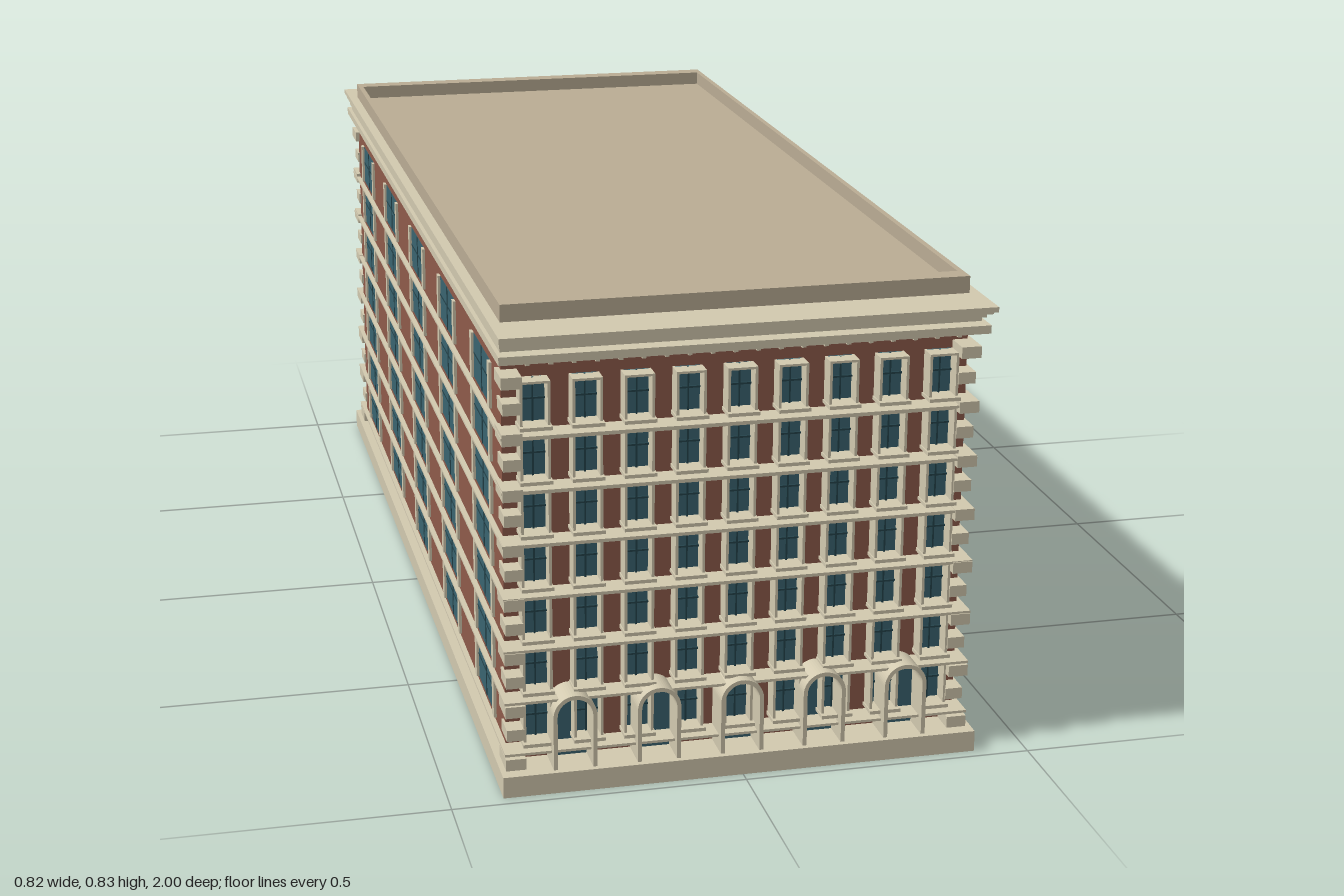
import * as THREE from 'three';

const mat = (color) => new THREE.MeshStandardMaterial({ color });
const BRICK = mat(0x8f5b4b), STONE = mat(0xd3cab0), GLASS = mat(0x3a6470), BAR = mat(0x24434b), ROOF = mat(0xbbad95);

const HX = 0.393, HZ = 0.91;         // half size of the brick body
const FLOORS = 7, STOREY = 0.0923;

// Box given by its minimum and maximum corners
function box(parent, name, material, x0, x1, y0, y1, z0, z1) {
  const m = new THREE.Mesh(new THREE.BoxGeometry(x1 - x0, y1 - y0, z1 - z0), material);
  m.position.set((x0 + x1) / 2, (y0 + y1) / 2, (z0 + z1) / 2);
  m.name = name;
  parent.add(m);
  return m;
}

// Slab centred on the vertical axis
const slab = (parent, name, material, hx, hz, y0, y1) =>
  box(parent, name, material, -hx, hx, y0, y1, -hz, hz);

// Window facing +z with its wall at z = 0; w and h are outer sizes, y = 0 at the sill
function makeWindow({ w, h, jamb, depth, bar }) {
  const g = new THREE.Group();
  g.name = 'window';
  const a = w / 2;
  box(g, 'glass', GLASS, -a + jamb, a - jamb, 0, h, 0, depth * 0.1);
  box(g, 'verticalBar', BAR, -bar / 2, bar / 2, 0, h, 0, depth * 0.25);
  box(g, 'horizontalBar', BAR, -a + jamb, a - jamb, h * 0.54, h * 0.54 + 0.003, 0, depth * 0.25);
  for (const s of [-1, 1]) {
    const c = s * (a - jamb / 2);
    box(g, 'jamb', STONE, c - jamb / 2, c + jamb / 2, 0, h, 0, depth);
  }
  return g;
}

// Grid of windows on one wall
function makeWindowWall(name, columns, spacing, spec) {
  const wall = new THREE.Group();
  wall.name = name;
  for (let f = 0; f < FLOORS; f++) {
    for (let i = 0; i < columns; i++) {
      const win = makeWindow(spec);
      if (spec.trim) {
        const a = spec.w / 2;
        box(win, 'lintel', STONE, -a, a, spec.h - 0.004, spec.h, 0, spec.depth);
        box(win, 'sill', STONE, -a - 0.002, a + 0.002, -0.001, 0.005, 0, spec.depth * 1.3);
      }
      win.position.set((i - (columns - 1) / 2) * spacing, 0.074 + f * STOREY, 0);
      wall.add(win);
    }
  }
  return wall;
}

// Outline of a round-headed opening
function archPath(target, r, y0, spring) {
  target.moveTo(-r, y0);
  target.lineTo(r, y0);
  target.lineTo(r, spring);
  target.absarc(0, spring, r, 0, Math.PI, false);
  target.lineTo(-r, y0);
  return target;
}

// Entrance arch with stone surround and glazed infill
function makeArch() {
  const g = new THREE.Group();
  g.name = 'entranceArch';
  const y0 = 0.037, spring = 0.131, ro = 0.037, ri = 0.030;
  const surround = new THREE.Shape();
  surround.moveTo(-ro, y0);
  surround.lineTo(-ri, y0);
  surround.lineTo(-ri, spring);
  surround.absarc(0, spring, ri, Math.PI, 0, true);
  surround.lineTo(ri, y0);
  surround.lineTo(ro, y0);
  surround.lineTo(ro, spring);
  surround.absarc(0, spring, ro, 0, Math.PI, false);
  const ring = new THREE.Mesh(
    new THREE.ExtrudeGeometry(surround, { depth: 0.06, bevelEnabled: false, curveSegments: 14 }), STONE);
  ring.name = 'archSurround';
  const pane = new THREE.Mesh(
    new THREE.ExtrudeGeometry(archPath(new THREE.Shape(), ri, y0, spring),
      { depth: 0.005, bevelEnabled: false, curveSegments: 14 }), GLASS);
  pane.name = 'archGlass';
  g.add(ring, pane);
  return g;
}

export function createModel() {
  const model = new THREE.Group();
  model.name = 'building';

  // Plinth and brick body
  slab(model, 'plinth', STONE, 0.41, 0.98, 0, 0.037);
  slab(model, 'brickBody', BRICK, HX, HZ, 0.037, 0.75);

  // String courses at each floor
  for (let f = 0; f < FLOORS; f++) {
    const y = 0.0605 + f * STOREY;
    slab(model, 'stringCourse', STONE, 0.3985, 0.942, y - 0.0055, y + 0.003);
    slab(model, 'stringCourseCap', STONE, 0.402, 0.955, y + 0.001, y + 0.0055);
  }

  // Windows on the four walls
  const endSpec = { w: 0.05, h: 0.079, jamb: 0.0045, depth: 0.032, bar: 0.003, trim: true };
  const sideSpec = { w: 0.19, h: 0.079, jamb: 0.017, depth: 0.005, bar: 0.008, trim: false };
  for (const s of [1, -1]) {
    const end = makeWindowWall(s > 0 ? 'frontWindows' : 'backWindows', 9, 0.0858, endSpec);
    end.position.z = s * HZ;
    end.rotation.y = s > 0 ? 0 : Math.PI;
    const side = makeWindowWall(s > 0 ? 'leftWindows' : 'rightWindows', 5, 0.365, sideSpec);
    side.position.x = s * HX;
    side.rotation.y = s * Math.PI / 2;
    model.add(end, side);
  }

  // Entrance arches along the front
  for (let i = -2; i <= 2; i++) {
    const arch = makeArch();
    arch.position.set(i * 0.143, 0, HZ);
    model.add(arch);
  }

  // Corner quoins, alternately long and short
  const quoins = new THREE.Group();
  quoins.name = 'quoins';
  for (const sx of [-1, 1]) {
    for (const sz of [-1, 1]) {
      for (let i = 0; i < 15; i++) {
        const y = 0.037 + i * 0.0474, long = i % 2 === 0;
        const xi = 0.367, xo = long ? 0.401 : 0.397;
        const zi = 0.895, zo = long ? 0.957 : 0.945;
        box(quoins, 'quoin', STONE, Math.min(sx * xi, sx * xo), Math.max(sx * xi, sx * xo),
          y, y + 0.02, Math.min(sz * zi, sz * zo), Math.max(sz * zi, sz * zo));
      }
    }
  }
  model.add(quoins);

  // Dentils under the cornice at both ends
  for (const s of [-1, 1]) {
    for (let i = 0; i < 20; i++) {
      const x = (i - 9.5) * 0.0378;
      box(model, 'dentil', STONE, x - 0.0035, x + 0.0035, 0.741, 0.75,
        s > 0 ? HZ : -0.965, s > 0 ? 0.965 : -HZ);
    }
  }

  // Stepped cornice: half width, half depth, bottom, top
  const steps = [
    [0.408, 0.978, 0.748, 0.762], [0.401, 0.95, 0.762, 0.772], [0.404, 0.965, 0.772, 0.779],
    [0.402, 0.955, 0.779, 0.783], [0.408, 0.985, 0.783, 0.79], [0.411, 1.0, 0.79, 0.799],
  ];
  for (const [hx, hz, y0, y1] of steps) slab(model, 'cornice', STONE, hx, hz, y0, y1);

  // Flat roof and parapet
  slab(model, 'roofDeck', ROOF, 0.386, 0.88, 0.79, 0.802);
  for (const s of [-1, 1]) {
    box(model, 'parapetEnd', ROOF, -HX, HX, 0.795, 0.828, s > 0 ? 0.875 : -HZ, s > 0 ? HZ : -0.875);
    box(model, 'parapetSide', ROOF, s > 0 ? 0.383 : -HX, s > 0 ? HX : -0.383, 0.795, 0.828, -0.875, 0.875);
  }
  return model;
}
